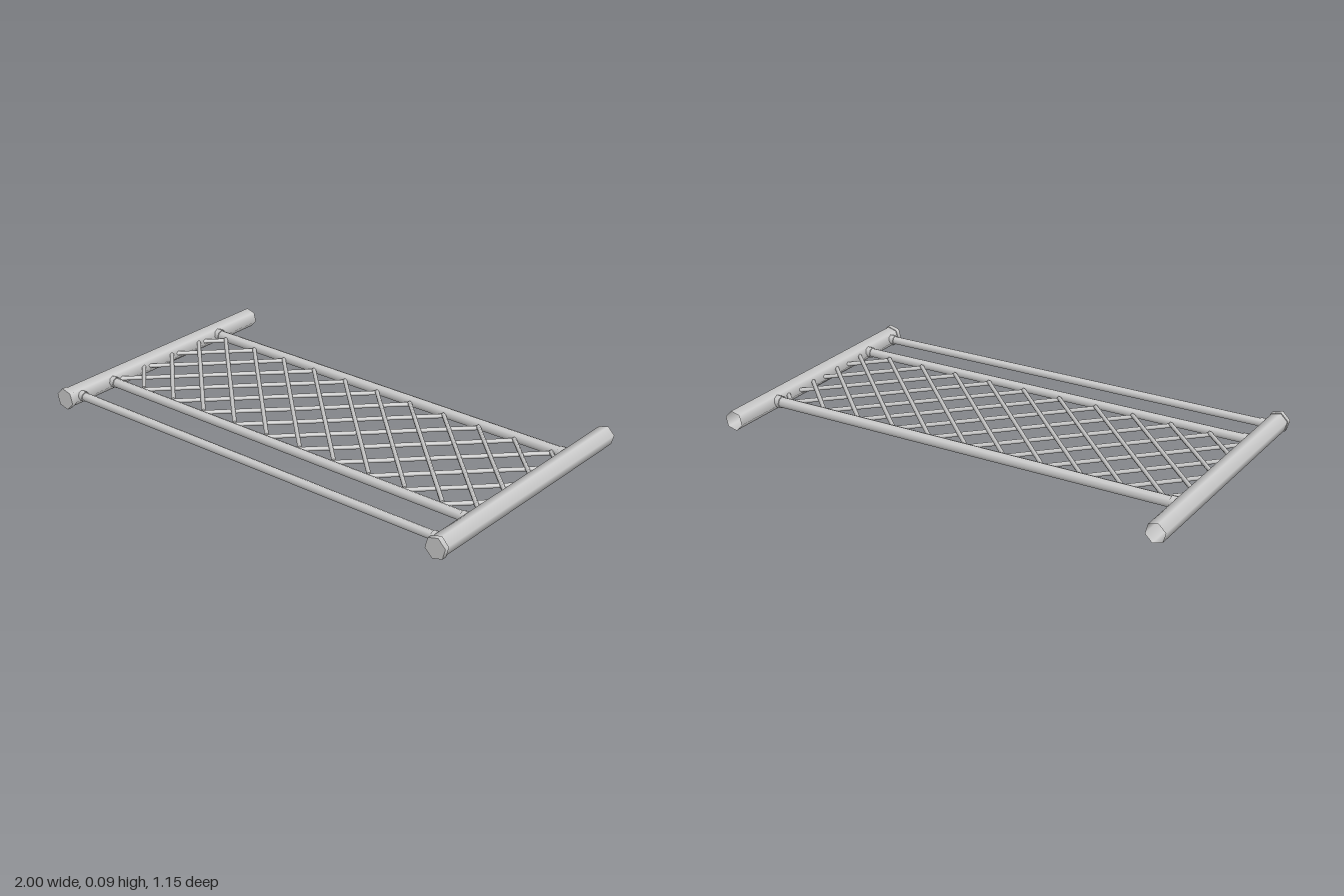
import * as THREE from 'three';

const Y = 0.047; // height of every pipe's axis
const metal = new THREE.MeshStandardMaterial({ color: 0xcccccc });
const openMetal = new THREE.MeshStandardMaterial({ color: 0xcccccc, side: THREE.DoubleSide });

function add(parent, name, geometry, material = metal) {
  const mesh = new THREE.Mesh(geometry, material);
  mesh.name = name;
  parent.add(mesh);
  return mesh;
}

// Straight rod between two points
function rod(parent, name, a, b, radius, sides) {
  const dir = b.clone().sub(a);
  const mesh = add(parent, name, new THREE.CylinderGeometry(radius, radius, dir.length(), sides));
  mesh.position.copy(a).add(b).multiplyScalar(0.5);
  mesh.quaternion.setFromUnitVectors(new THREE.Vector3(0, 1, 0), dir.normalize());
  return mesh;
}

export function createModel() {
  const group = new THREE.Group();
  group.name = 'fencePanel';

  // Hollow hexagonal posts with a closed cap on the front end
  for (const side of [-1, 1]) {
    const post = new THREE.Group();
    post.name = side > 0 ? 'leftPost' : 'rightPost';
    post.position.set(side * 0.955, Y, 0);
    const turn = side > 0 ? Math.PI / 4 : Math.PI / 12;
    const pipe = new THREE.CylinderGeometry(0.0425, 0.0425, 1.145, 6, 1, true, turn).rotateX(Math.PI / 2);
    add(post, 'postPipe', pipe, openMetal);
    const cap = new THREE.CylinderGeometry(0.0465, 0.0465, 0.022, 6, 1, false, turn).rotateX(Math.PI / 2);
    add(post, 'postCap', cap).position.z = 0.563;
    group.add(post);
  }

  // Rails with a collar at each end
  const rails = [
    ['topRail', -0.325, 0.023],
    ['middleRail', 0.33, 0.02],
    ['bottomRail', 0.51, 0.018],
  ];
  for (const [name, z, r] of rails) {
    const rail = new THREE.Group();
    rail.name = name;
    const at = (x) => new THREE.Vector3(x, Y + 0.004, z);
    rod(rail, 'railPipe', at(-0.925), at(0.925), r, 8);
    for (const s of [-1, 1]) rod(rail, 'railCollar', at(s * 0.9), at(s * 0.925), r + 0.004, 8);
    group.add(rail);
  }

  // Diamond wire mesh: two sets of diagonals cut off at the posts
  const mesh = new THREE.Group();
  mesh.name = 'wireMesh';
  const limit = 0.925, zEnd = 0.3, pitch = 0.1727;
  for (const slope of [-1.007, 1.007]) {
    for (let k = -4; k <= 14; k++) {
      const start = -0.853 + k * pitch;
      const zAt = (x) => (x - start) / slope - zEnd;
      const zs = [zAt(-limit), zAt(limit)].sort((a, b) => a - b);
      const z0 = Math.max(-zEnd, zs[0]), z1 = Math.min(zEnd, zs[1]);
      if (z1 - z0 < 0.015) continue;
      const at = (z) => new THREE.Vector3(start + slope * (z + zEnd), Y + 0.004 + Math.sign(slope) * 0.003, z);
      rod(mesh, 'wire', at(z0), at(z1), 0.0095, 5);
    }
  }
  group.add(mesh);
  return group;
}
